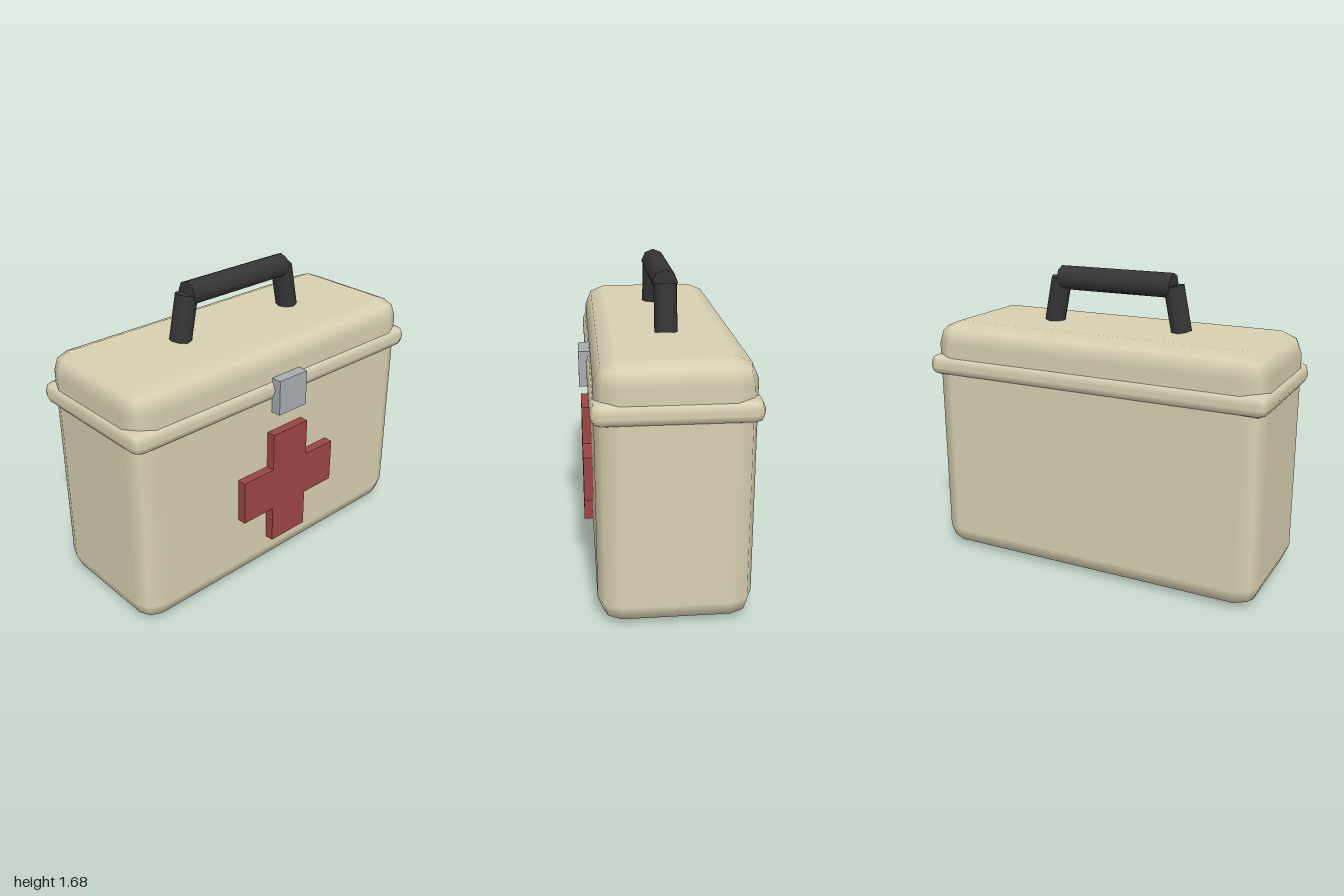
import * as THREE from 'three';
import { RoundedBoxGeometry } from 'three/addons/geometries/RoundedBoxGeometry.js';

const CASE_Z = -0.02; // the case sits slightly behind the centre

export function createModel() {
  const material = (name, color) => {
    const m = new THREE.MeshStandardMaterial({ color });
    m.name = name;
    return m;
  };
  const beige = material('beige', 0xd8d0b0);
  const red = material('red', 0x9c4642);
  const grey = material('grey', 0xa9adb2);
  const black = material('black', 0x363636);

  const model = new THREE.Group();
  model.name = 'firstAidCase';
  const add = (name, geometry, mat, x, y, z, parent = model) => {
    const mesh = new THREE.Mesh(geometry, mat);
    mesh.name = name;
    mesh.position.set(x, y, z);
    parent.add(mesh);
    return mesh;
  };

  // Case with two-step bevels, and the rim that runs around it
  add('caseBody', new RoundedBoxGeometry(1.96, 1.37, 0.785, 1, 0.118), beige, 0, 0.69, CASE_Z);
  add('rim', new RoundedBoxGeometry(2, 0.12, 0.824, 1, 0.05), beige, 0, 1.13, CASE_Z);

  // Latch across the rim
  add('latch', new THREE.BoxGeometry(0.2, 0.2, 0.08), grey, 0, 1.1, 0.392);

  // Raised cross on the front
  const w = 0.127, rx = 0.34, ry = 0.342;
  const outline = [
    [-w, -ry], [w, -ry], [w, -w], [rx, -w], [rx, w], [w, w],
    [w, ry], [-w, ry], [-w, w], [-rx, w], [-rx, -w], [-w, -w],
  ].map(([x, y]) => new THREE.Vector2(x, y));
  add('cross', new THREE.ExtrudeGeometry(new THREE.Shape(outline), { depth: 0.063, bevelEnabled: false }),
    red, 0, 0.542, 0.36);

  // Carrying handle: eight-sided grip on two leaning legs
  const handle = new THREE.Group();
  handle.name = 'handle';
  model.add(handle);
  const grip = add('grip', new THREE.CylinderGeometry(0.067, 0.067, 0.68, 8), black, 0, 1.62, CASE_Z, handle);
  grip.rotation.z = Math.PI / 2;
  for (const side of [-1, 1]) {
    const leg = add(side < 0 ? 'rightLeg' : 'leftLeg', new THREE.CylinderGeometry(0.06, 0.06, 0.25, 8),
      black, side * 0.367, 1.496, CASE_Z, handle);
    leg.rotation.z = side * 0.2;
  }
  return model;
}
